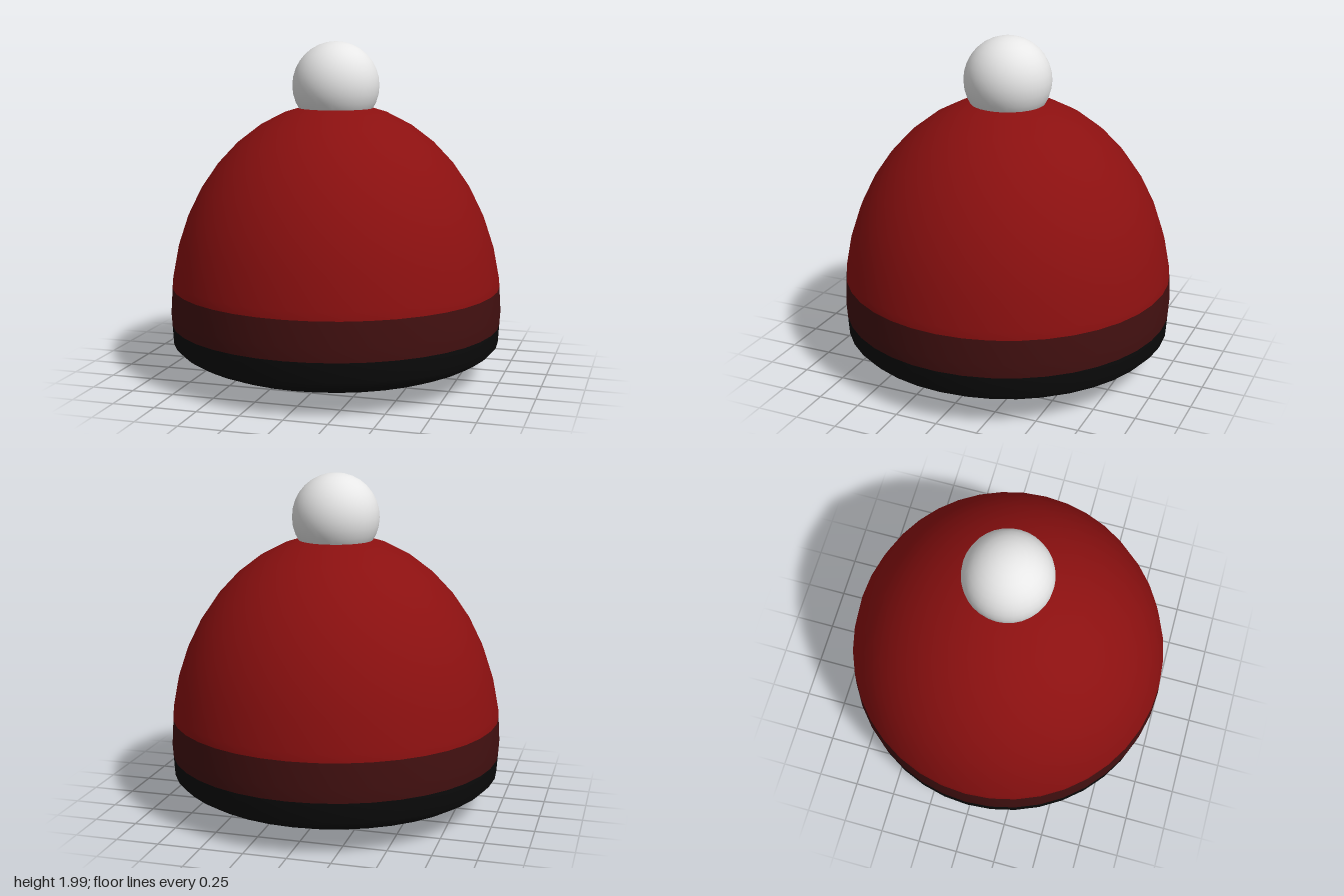
import * as THREE from 'three';

const RADIUS = 0.99;
const EQUATOR = 0.41;
const STEPS = 10; // profile rows per quarter turn

export function createModel() {
  const red = new THREE.MeshStandardMaterial({ color: 0x8b1010 });
  const maroon = new THREE.MeshStandardMaterial({ color: 0x421010 });
  const black = new THREE.MeshStandardMaterial({ color: 0x0b0b0b });
  const white = new THREE.MeshStandardMaterial({ color: 0xf0f0f0 });

  const hat = new THREE.Group();
  hat.name = 'bobbleHat';

  // Egg-shaped profile: tall dome above, flattened bowl below
  const profile = [];
  for (let k = -STEPS; k <= STEPS; k++) {
    const angle = (k / STEPS) * Math.PI / 2;
    const s = Math.sin(angle);
    const lowest = Math.sin(Math.PI / 2 / STEPS);
    const y = k >= -1
      ? EQUATOR + 1.233 * s
      : 0.217 - 0.207 * (-s - lowest) / (1 - lowest);
    profile.push(new THREE.Vector2(Math.abs(k) === STEPS ? 0 : RADIUS * Math.cos(angle), y));
  }

  // Point on the profile's straight segments at a given height
  const pointAt = (y) => {
    const i = profile.findIndex((p) => p.y > y);
    const a = profile[i - 1], b = profile[i];
    return a.clone().lerp(b, (y - a.y) / (b.y - a.y));
  };

  // One coloured ring of the hat between two heights
  const addBand = (name, from, to, material) => {
    const points = profile.filter((p) => p.y > from && p.y < to);
    if (from > 0) points.unshift(pointAt(from));
    if (to < 1.7) points.push(pointAt(to));
    const mesh = new THREE.Mesh(new THREE.LatheGeometry(points, 40), material);
    mesh.name = name;
    hat.add(mesh);
  };
  addBand('blackBase', 0, 0.33, black);
  addBand('brimBand', 0.33, 0.555, maroon);
  addBand('crown', 0.555, 2, red);

  // Bobble on top
  const pompom = new THREE.Mesh(new THREE.SphereGeometry(0.258, 32, 16), white);
  pompom.name = 'pompom';
  pompom.position.y = 1.742;
  hat.add(pompom);

  return hat;
}
